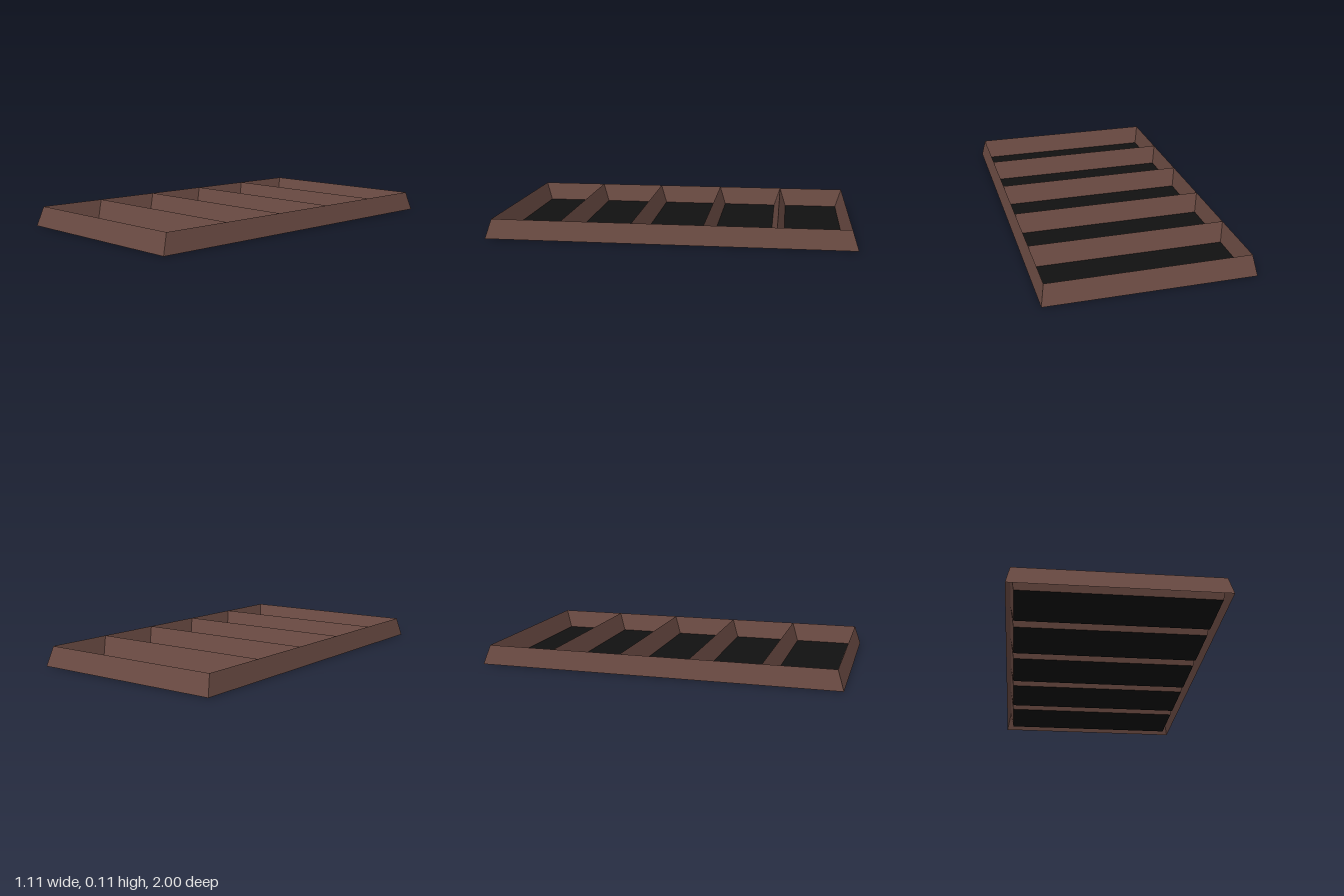
import * as THREE from 'three';

const H = 0.107;             // ridge height
const BX = 0.557, BZ = 1;    // outer foot of the frame
const RX = 0.537, RZ = 0.965; // ridge line of the frame
const FX = 0.517;            // half width of a tray floor
const SLOPE = 0.035;         // run of the walls along z
const CELLS = 5;

// Corners of a level rectangle, counter-clockwise seen from above
const rect = (hx, hz, y) => [[-hx, y, hz], [hx, y, hz], [hx, y, -hz], [-hx, y, -hz]];

// Four sloping walls joining two rectangles, facing outward when a is the lower one
function walls(a, b) {
  const pos = [];
  for (let i = 0; i < 4; i++) {
    const j = (i + 1) % 4;
    pos.push(...a[i], ...a[j], ...b[j], ...a[i], ...b[j], ...b[i]);
  }
  const g = new THREE.BufferGeometry();
  g.setAttribute('position', new THREE.Float32BufferAttribute(pos, 3));
  g.computeVertexNormals();
  return g;
}

export function createModel() {
  const group = new THREE.Group();
  const wood = new THREE.MeshStandardMaterial({ color: 0x6b4b43, side: THREE.DoubleSide });
  wood.name = 'brown wood';
  const dark = new THREE.MeshStandardMaterial({ color: 0x111111, side: THREE.DoubleSide });
  dark.name = 'black floor';

  const add = (name, geometry, material, z = 0) => {
    const mesh = new THREE.Mesh(geometry, material);
    mesh.name = name;
    mesh.position.z = z;
    group.add(mesh);
    return mesh;
  };

  // Outer skirt leaning in to the ridge, open underneath
  add('outerFrame', walls(rect(BX, BZ, 0), rect(RX, RZ, H)), wood);

  // Row of trays whose walls meet their neighbours at the ridges
  const pitch = (2 * RZ) / CELLS;
  const floorHalf = pitch / 2 - SLOPE;
  const trayWalls = walls(rect(RX, pitch / 2, H), rect(FX, floorHalf, 0));
  // Walls run from the ridge down, so their front is the inside of the tray
  const floor = new THREE.PlaneGeometry(FX * 2, floorHalf * 2).rotateX(-Math.PI / 2);
  for (let i = 0; i < CELLS; i++) {
    const z = -RZ + pitch * (i + 0.5);
    add('trayWalls' + (i + 1), trayWalls, wood, z);
    add('trayFloor' + (i + 1), floor, dark, z);
  }
  return group;
}
